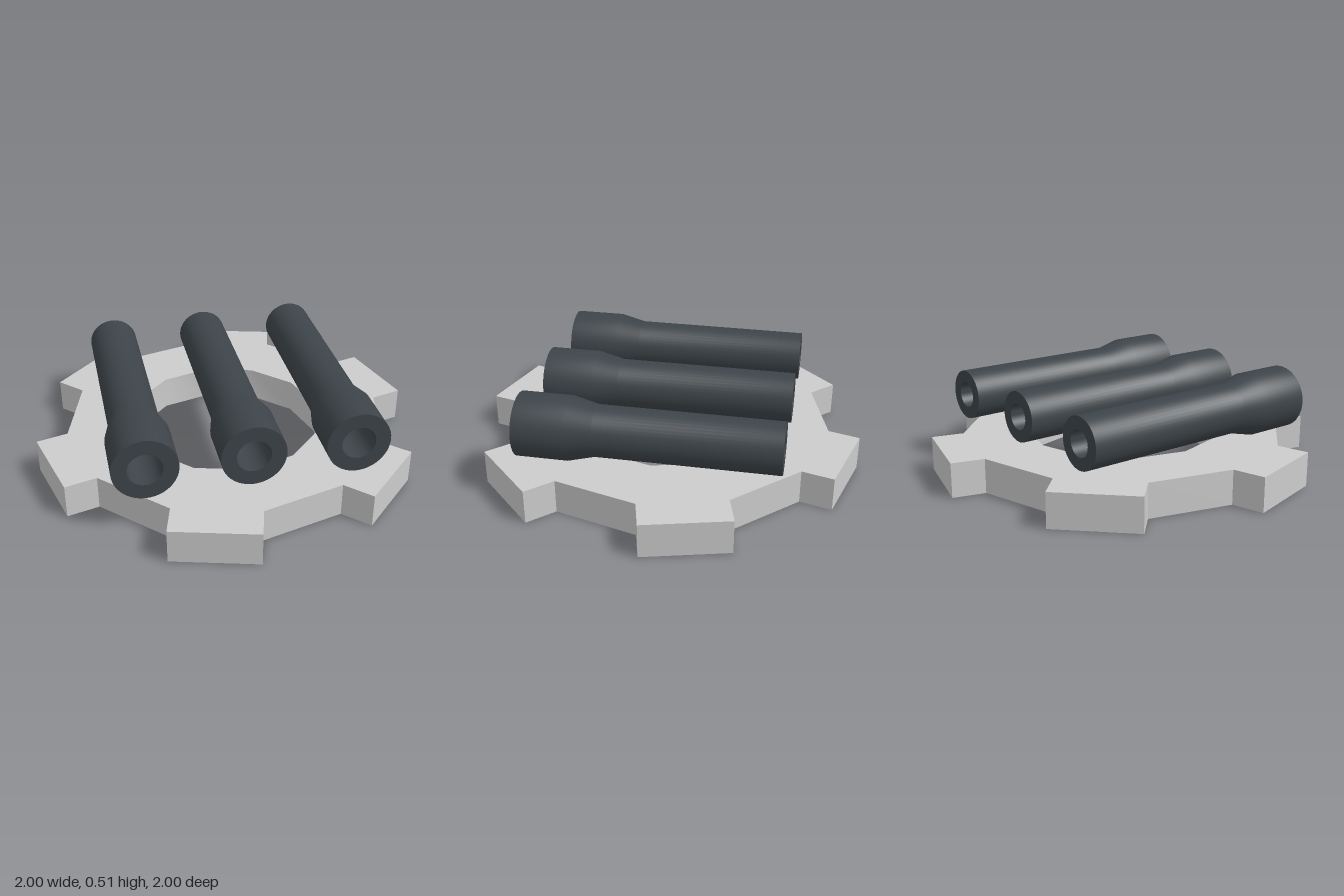
import * as THREE from 'three';
import { toCreasedNormals } from 'three/addons/utils/BufferGeometryUtils.js';

const RING_RADIUS = 0.838, TOOTH = 0.166, HOLE_RADIUS = 0.505, THICKNESS = 0.175;
const polar = (r, deg) => {
  const a = THREE.MathUtils.degToRad(deg);
  return new THREE.Vector2(Math.cos(a), Math.sin(a)).multiplyScalar(r);
};

// Twelve-sided ring whose alternate sides are pushed straight out as teeth
function gearGeometry() {
  const points = [];
  for (let i = 0; i < 6; i++) {
    const start = 30 + i * 60;
    const a = polar(RING_RADIUS, start);
    const b = polar(RING_RADIUS, start + 30);
    const out = polar(TOOTH, start + 15);
    points.push(a, a.clone().add(out), b.clone().add(out), b);
  }
  const shape = new THREE.Shape(points);
  const hole = [];
  for (let i = 0; i < 12; i++) hole.push(polar(HOLE_RADIUS, -30 * i));
  shape.holes.push(new THREE.Path(hole));
  const geometry = new THREE.ExtrudeGeometry(shape, { depth: THICKNESS, bevelEnabled: false });
  geometry.rotateX(Math.PI / 2).translate(0, THICKNESS, 0);
  return toCreasedNormals(geometry, 0.7);
}

// Hollow tube with a wider front end, turned around the z axis
function tubeGeometry() {
  const profile = [
    [0.066, -0.645], [0.128, -0.645], [0.128, 0.26], [0.16, 0.39], [0.16, 0.645],
    [0.085, 0.645], [0.085, 0.39], [0.066, 0.26], [0.066, -0.645],
  ].map(([r, z]) => new THREE.Vector2(r, z));
  const geometry = new THREE.LatheGeometry(profile, 48).rotateX(Math.PI / 2);
  return toCreasedNormals(geometry, 0.4);
}

export function createModel() {
  const lightGrey = new THREE.MeshStandardMaterial({ name: 'lightGrey', color: 0xcccccc });
  const darkSlate = new THREE.MeshStandardMaterial({ name: 'darkSlate', color: 0x3d4449 });
  const model = new THREE.Group();
  model.name = 'gearWithTubes';

  const gear = new THREE.Mesh(gearGeometry(), lightGrey);
  gear.name = 'gearRing';
  model.add(gear);

  // Three parallel tubes floating over the gear
  const tube = tubeGeometry();
  [['rightTube', -0.515], ['middleTube', 0], ['leftTube', 0.515]].forEach(([name, x]) => {
    const mesh = new THREE.Mesh(tube, darkSlate);
    mesh.name = name;
    mesh.position.set(x, 0.35, 0);
    model.add(mesh);
  });
  return model;
}
